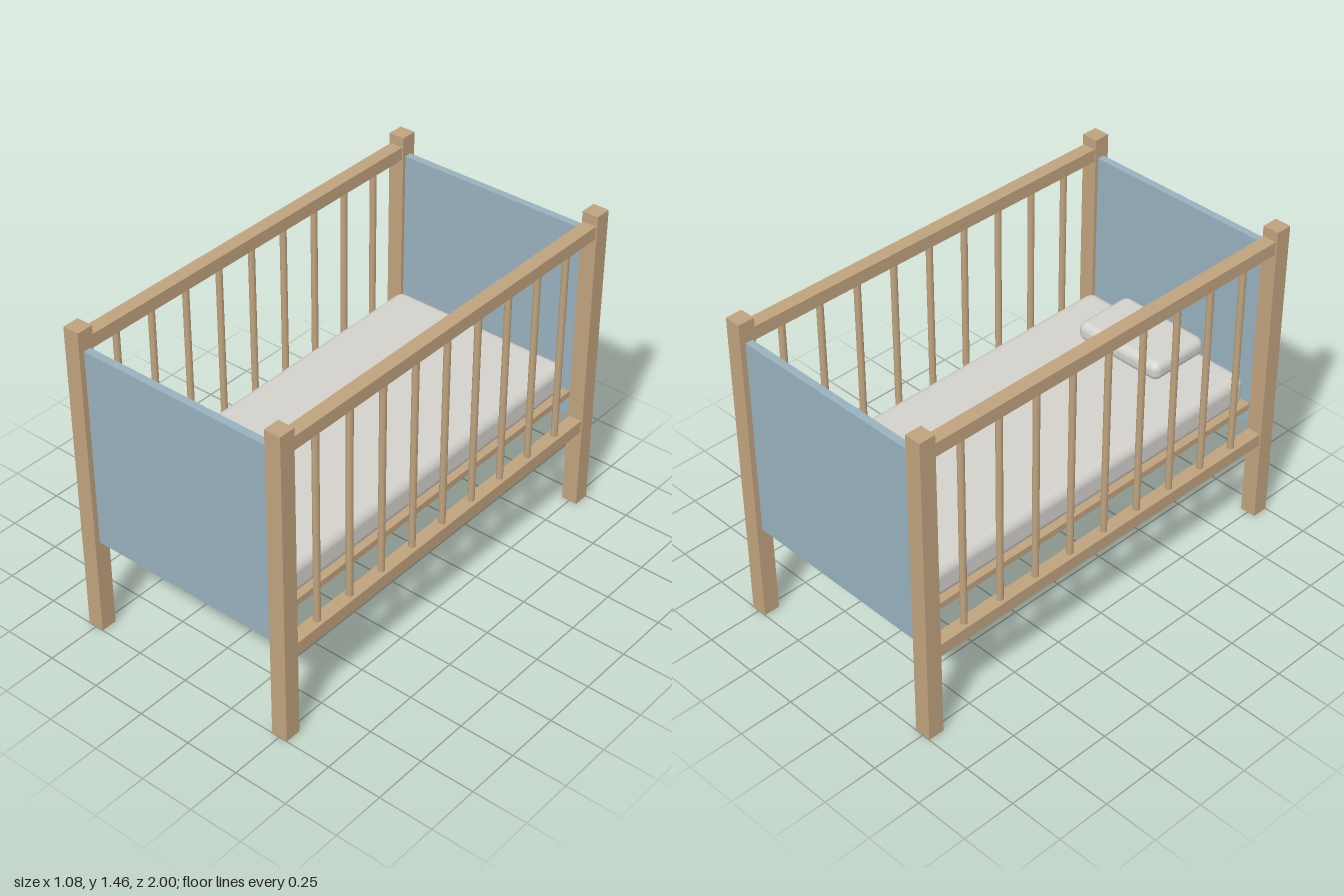
import * as THREE from 'three';
import { RoundedBoxGeometry } from 'three/addons/geometries/RoundedBoxGeometry.js';

const wood = new THREE.MeshStandardMaterial({ color: 0xbfa27e });
const blue = new THREE.MeshStandardMaterial({ color: 0x97b1bd });
const fabric = new THREE.MeshStandardMaterial({ color: 0xd3d1cb });

export function createModel() {
  const crib = new THREE.Group();
  crib.name = 'crib';

  const add = (name, geometry, material, x, y, z) => {
    const mesh = new THREE.Mesh(geometry, material);
    mesh.name = name;
    mesh.position.set(x, y, z);
    crib.add(mesh);
  };

  const post = new THREE.BoxGeometry(0.075, 1.463, 0.075);
  const rail = new THREE.BoxGeometry(0.062, 0.06, 1.85);
  const bar = new THREE.CylinderGeometry(0.015, 0.015, 0.92, 12);
  const panel = new THREE.BoxGeometry(0.926, 0.92, 0.034);

  for (const [side, sx] of [['left', 1], ['right', -1]]) {
    // Corner posts
    for (const [end, sz] of [['Front', 1], ['Back', -1]]) {
      add(`${side}${end}Post`, post, wood, sx * 0.5, 0.7315, sz * 0.9625);
    }
    // Side rails with round bars between them
    add(`${side}TopRail`, rail, wood, sx * 0.5, 1.387, 0);
    add(`${side}BottomRail`, rail, wood, sx * 0.5, 0.418, 0);
    for (let i = -4; i <= 4; i++) {
      add(`${side}Bar${i + 5}`, bar, wood, sx * 0.5, 0.902, i * 0.1927);
    }
  }

  // End panels
  add('frontPanel', panel, blue, 0, 0.91, 0.958);
  add('backPanel', panel, blue, 0, 0.91, -0.958);

  // Mattress base, mattress and pillow
  add('mattressBase', new THREE.BoxGeometry(0.926, 0.03, 1.85), wood, 0, 0.56, 0);
  add('mattress', new RoundedBoxGeometry(0.9, 0.152, 1.812, 5, 0.046), fabric, 0, 0.651, 0);
  add('pillow', new RoundedBoxGeometry(0.46, 0.091, 0.308, 5, 0.038), fabric, 0, 0.772, 0.739);

  return crib;
}
